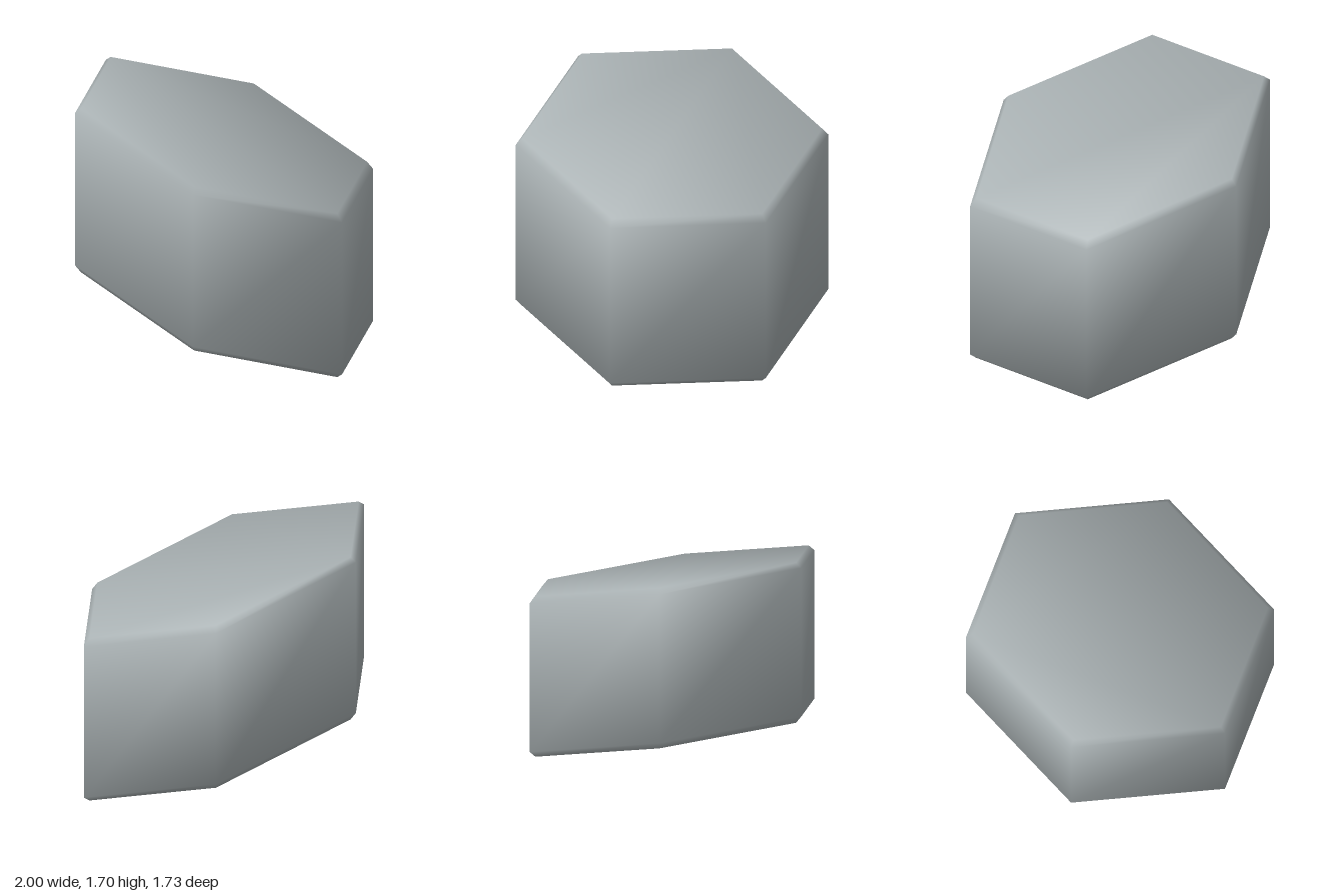
import * as THREE from 'three';

// Sheared hexagonal prism: [radius, centre height] of each ring, bottom to top
const RINGS = [[0.96, 0.295], [1, 0.335], [1, 1.365], [0.96, 1.405]];
const SIDES = 6;
const SLOPE_X = -0.307;
const SLOPE_Z = -0.177;

function buildBlock() {
  const points = [];
  for (const [r, h] of RINGS) {
    for (let i = 0; i < SIDES; i++) {
      const a = (i / SIDES) * Math.PI * 2;
      const x = r * Math.cos(a);
      const z = -r * Math.sin(a);
      points.push(new THREE.Vector3(x, h + SLOPE_X * x + SLOPE_Z * z, z));
    }
  }

  // Each face is a corner loop, counter-clockwise from outside
  const faces = [];
  for (let k = 0; k < RINGS.length - 1; k++) {
    for (let i = 0; i < SIDES; i++) {
      const j = (i + 1) % SIDES;
      const lo = k * SIDES;
      const hi = lo + SIDES;
      faces.push([lo + i, lo + j, hi + j, hi + i]);
    }
  }
  const top = (RINGS.length - 1) * SIDES;
  const cap = [2, 3, 4, 5, 0, 1];
  faces.push(cap.map((i) => top + i));
  faces.push([...cap].reverse());

  // Smooth normals: every face counts equally at its corners
  const normals = points.map(() => new THREE.Vector3());
  const index = [];
  for (const f of faces) {
    const n = new THREE.Vector3();
    f.forEach((p, i) => {
      n.add(new THREE.Vector3().crossVectors(points[p], points[f[(i + 1) % f.length]]));
    });
    n.normalize();
    f.forEach((p) => normals[p].add(n));
    for (let i = 1; i < f.length - 1; i++) index.push(f[0], f[i], f[i + 1]);
  }
  normals.forEach((n) => n.normalize());

  const geometry = new THREE.BufferGeometry();
  geometry.setAttribute('position', new THREE.Float32BufferAttribute(points.flatMap((p) => p.toArray()), 3));
  geometry.setAttribute('normal', new THREE.Float32BufferAttribute(normals.flatMap((n) => n.toArray()), 3));
  geometry.setIndex(index);
  return geometry;
}

export function createModel() {
  const group = new THREE.Group();
  group.name = 'slopedHexagonBlock';
  const grey = new THREE.MeshStandardMaterial({ color: 0xaab2b4 });
  grey.name = 'stone grey';

  const block = new THREE.Mesh(buildBlock(), grey);
  block.name = 'block';
  group.add(block);
  return group;
}
